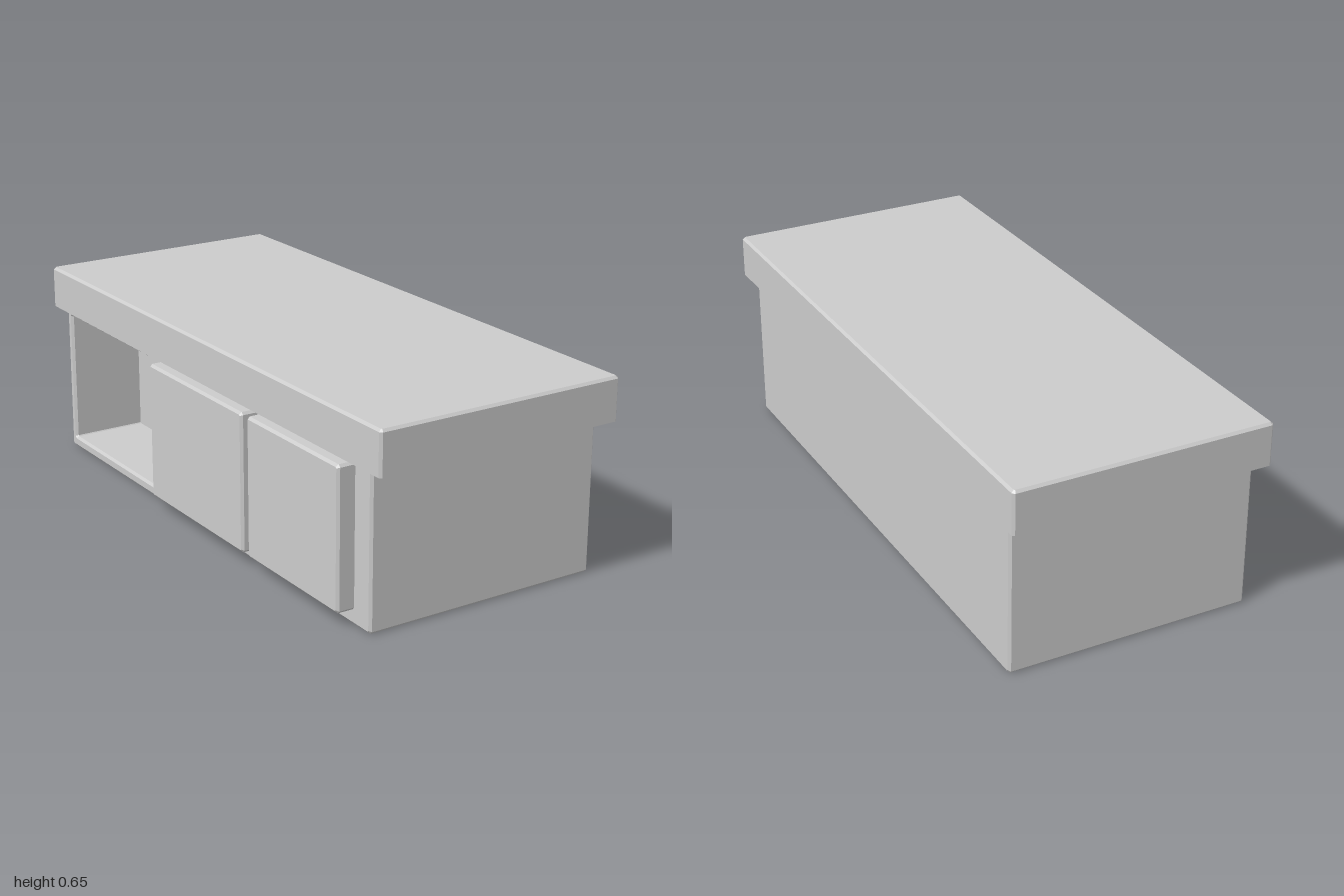
import * as THREE from 'three';

const material = new THREE.MeshStandardMaterial({
  color: 0xcccccc, flatShading: true, side: THREE.DoubleSide,
});
const B = 0.008; // chamfer width

// Rectangle section with chamfered corners: level along the axis, then its two ranges
const section = (level, u0, u1, v0, v1, inset = 0) => {
  u0 += inset; u1 -= inset; v0 += inset; v1 -= inset;
  const c = inset > 0 ? B * 0.4 : B;
  return {
    level,
    points: [
      [u0 + c, v0], [u1 - c, v0], [u1, v0 + c], [u1, v1 - c],
      [u1 - c, v1], [u0 + c, v1], [u0, v1 - c], [u0, v0 + c],
    ],
  };
};

// Skin consecutive sections; place(level, u, v) returns [x, y, z]
function loft(name, sections, place, capStart = true) {
  const positions = [];
  const rings = sections.map((s) => s.points.map(([u, v]) => place(s.level, u, v)));
  const tri = (a, b, c) => positions.push(...a, ...b, ...c);
  for (let k = 0; k < rings.length - 1; k++) {
    const a = rings[k], b = rings[k + 1];
    for (let i = 0; i < a.length; i++) {
      const j = (i + 1) % a.length;
      tri(a[i], a[j], b[j]);
      tri(a[i], b[j], b[i]);
    }
  }
  const first = rings[0], last = rings[rings.length - 1];
  for (let i = 1; i < first.length - 1; i++) {
    if (capStart) tri(first[0], first[i + 1], first[i]);
    tri(last[0], last[i], last[i + 1]);
  }
  const geometry = new THREE.BufferGeometry();
  geometry.setAttribute('position', new THREE.Float32BufferAttribute(positions, 3));
  geometry.computeVertexNormals();
  const mesh = new THREE.Mesh(geometry, material);
  mesh.name = name;
  return mesh;
}

const alongX = (x, y, z) => [x, y, z];
const alongY = (y, z, x) => [x, y, z];

export function createModel() {
  const group = new THREE.Group();
  group.name = 'storageBench';

  // Cabinet body, from the back wall of the open cubby out and around the shell
  const cubby = [0.03, 0.495, -0.915, -0.31];
  const shell = [0, 0.515, -0.938, 0.93];
  group.add(loft('cabinetBody', [
    section(-0.13, ...cubby, B),
    section(-0.39 + B, ...cubby, B),
    section(-0.39, ...cubby),
    section(-0.39, ...shell, B),
    section(-0.39 + B, ...shell),
    section(0.424 - B, ...shell),
    section(0.424, ...shell, B),
  ], alongX));

  // Hollow lid, open underneath
  const lid = [-1, 1, -0.411, 0.448];
  group.add(loft('lid', [
    section(0.507, ...lid),
    section(0.649 - B, ...lid),
    section(0.649, ...lid, B),
  ], alongY, false));

  // Two door panels on the right side
  [['rearDoor', -0.24, 0.33], ['frontDoor', 0.36, 0.85]].forEach(([name, z0, z1]) => {
    const door = [0.048, 0.506, z0, z1];
    group.add(loft(name, [
      section(-0.449, ...door, B),
      section(-0.449 + B, ...door),
      section(-0.388, ...door),
    ], alongX));
  });

  return group;
}
